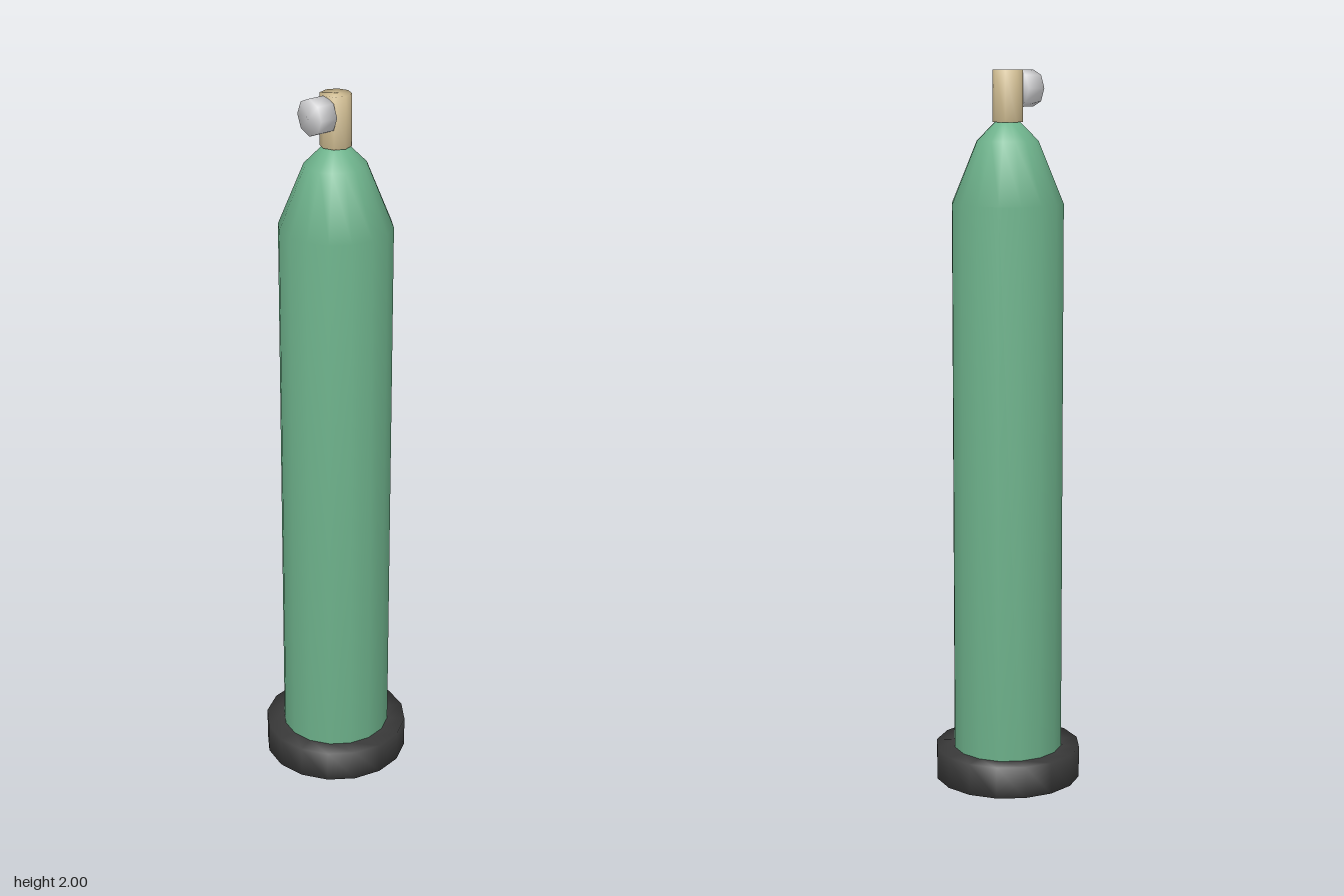
import * as THREE from 'three';

const material = (name, color) => {
  const m = new THREE.MeshStandardMaterial({ color });
  m.name = name;
  return m;
};

// Smooth turned part from a profile of [radius, height] points, bottom to top
function turned(name, profile, sides, mat) {
  const points = profile.map(([r, y]) => new THREE.Vector2(r, y));
  const mesh = new THREE.Mesh(new THREE.LatheGeometry(points, sides), mat);
  mesh.name = name;
  return mesh;
}

export function createModel() {
  const green = material('tank green', 0x6fb48d);
  const black = material('rubber black', 0x3a3a3a);
  const brass = material('pale brass', 0xd8c498);
  const steel = material('light steel', 0xd2d2d4);

  const model = new THREE.Group();
  model.name = 'gasCylinder';

  // Tall tank with a tapered shoulder
  model.add(turned('tank', [
    [0, 0], [0.155, 0], [0.155, 1.64], [0.085, 1.81], [0.03, 1.865], [0, 1.865],
  ], 16, green));

  // Rubber boot around the foot
  model.add(turned('baseRing', [
    [0.155, 0], [0.207, 0], [0.207, 0.09], [0.154, 0.09],
  ], 16, black));

  // Valve stem on top
  model.add(turned('valveStem', [
    [0, 1.86], [0.042, 1.86], [0.042, 2], [0, 2],
  ], 8, brass));

  // Side outlet pointing to -x
  const outlet = turned('valveOutlet', [
    [0, 0], [0.05, 0], [0.05, 0.052], [0, 0.052],
  ], 8, steel);
  outlet.rotation.z = Math.PI / 2;
  outlet.position.set(-0.035, 1.95, 0);
  model.add(outlet);

  return model;
}
